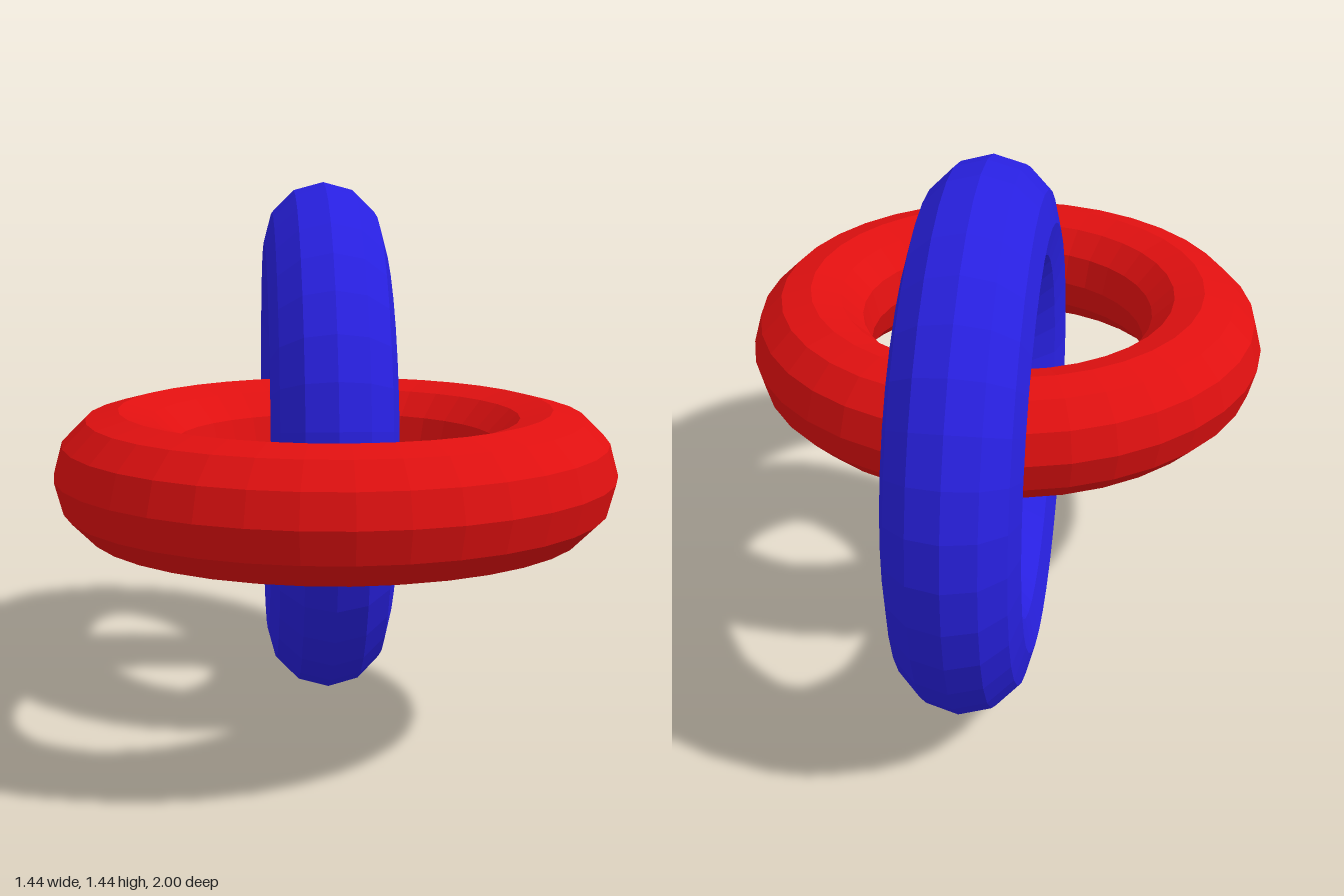
import * as THREE from 'three';

const RING = 0.5556; // centre line radius
const TUBE = 0.1667; // tube radius

// One twelve-sided ring, lying in the XY plane before it is turned
function makeRing(name, color, z) {
  const mesh = new THREE.Mesh(
    new THREE.TorusGeometry(RING, TUBE, 12, 36),
    new THREE.MeshStandardMaterial({ color, flatShading: true })
  );
  mesh.name = name;
  mesh.position.set(0, RING + TUBE, z);
  return mesh;
}

export function createModel() {
  const model = new THREE.Group();
  model.name = 'linkedRings';

  // Flat ring in front
  const redRing = makeRing('horizontalRing', 0xe01010, RING / 2);
  redRing.rotation.x = Math.PI / 2;

  // Upright ring behind, passing through the flat one
  const blueRing = makeRing('verticalRing', 0x2820e0, -RING / 2);
  blueRing.rotation.y = Math.PI / 2;

  model.add(redRing, blueRing);
  return model;
}
